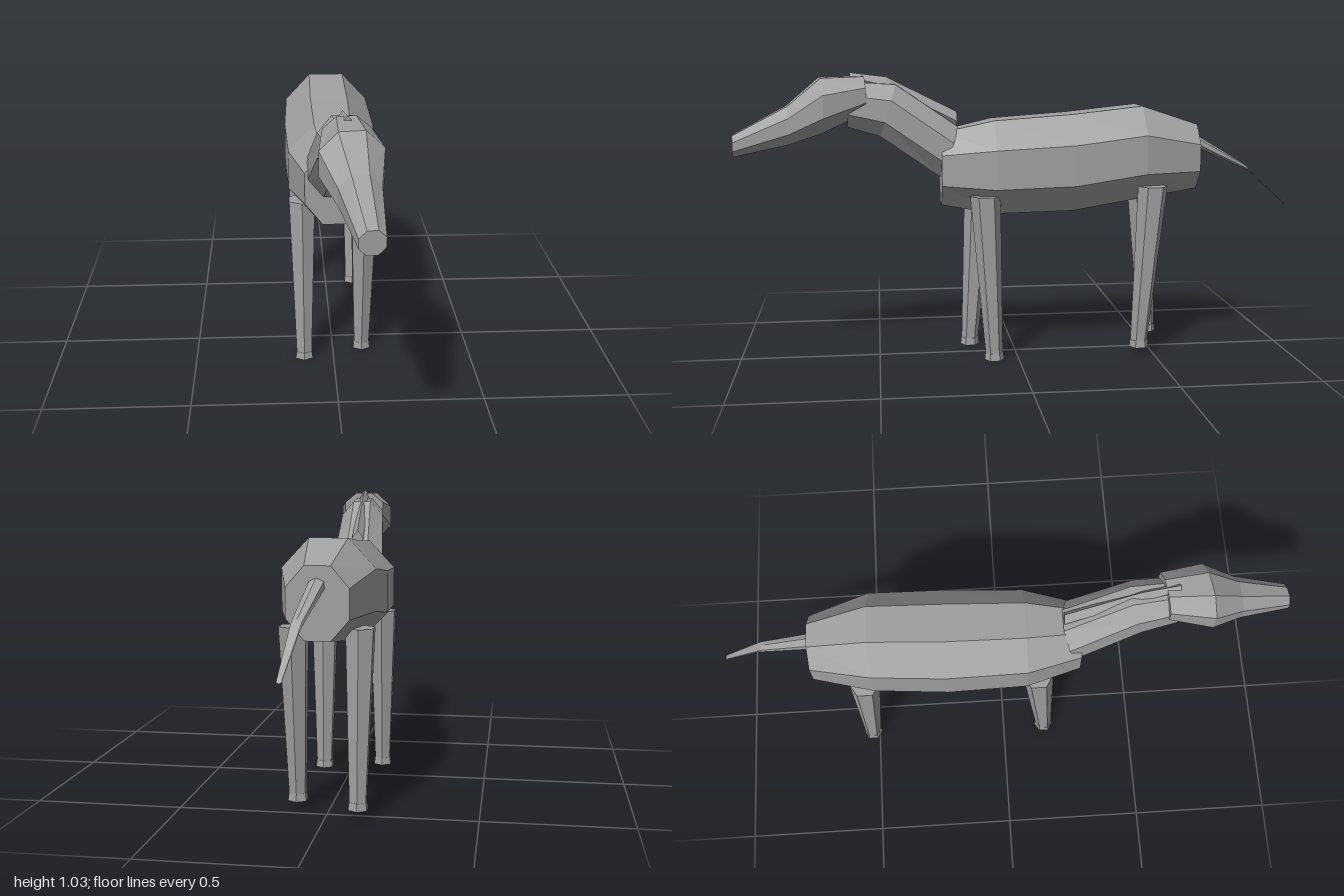
import * as THREE from 'three';

// Skin a closed solid over ring sections [cx, cy, cz, halfWidth, halfHeight, pitch].
// Rings run along their normals; pitch 0 faces +z, pitch PI/2 faces +y.
function loft(sections, sides, { pointy = false, yaw = 0 } = {}) {
  const phase = pointy ? 0 : Math.PI / sides;
  const grow = pointy ? 1 : 1 / Math.cos(Math.PI / sides);
  const pos = [], idx = [];
  for (const [cx, cy, cz, hw, hh, pitch = 0] of sections) {
    for (let j = 0; j < sides; j++) {
      const a = phase + (j / sides) * Math.PI * 2;
      const u = Math.cos(a) * hw * grow, v = Math.sin(a) * hh * grow;
      pos.push(cx + u, cy + v * Math.cos(pitch), cz - v * Math.sin(pitch) - u * yaw);
    }
  }
  const last = (sections.length - 1) * sides;
  for (let i = 0; i < last; i += sides) {
    for (let j = 0; j < sides; j++) {
      const k = (j + 1) % sides;
      idx.push(i + j, i + k, i + sides + k, i + j, i + sides + k, i + sides + j);
    }
  }
  // End caps
  for (let j = 1; j < sides - 1; j++) {
    idx.push(0, j + 1, j, last, last + j, last + j + 1);
  }
  const indexed = new THREE.BufferGeometry();
  indexed.setAttribute('position', new THREE.Float32BufferAttribute(pos, 3));
  indexed.setIndex(idx);
  const geo = indexed.toNonIndexed();
  geo.computeVertexNormals();
  return geo;
}

export function createModel() {
  const group = new THREE.Group();
  const coat = new THREE.MeshStandardMaterial({ color: 0xa0a0a0 });
  coat.name = 'grey coat';
  coat.flatShading = true;

  const add = (name, geometry) => {
    const mesh = new THREE.Mesh(geometry, coat);
    mesh.name = name;
    group.add(mesh);
  };

  // Barrel body, rump to chest
  add('body', loft([
    [0, 0.722, -0.665, 0.1, 0.117],
    [0, 0.742, -0.455, 0.155, 0.167],
    [0, 0.708, -0.2, 0.164, 0.174],
    [0, 0.695, 0.08, 0.155, 0.167],
    [0, 0.69, 0.27, 0.103, 0.13],
  ], 8));

  // Neck rising forward and bending slightly to the left
  add('neck', loft([
    [0, 0.75, 0.24, 0.094, 0.095, 0.35],
    [0.013, 0.9, 0.455, 0.08, 0.095, 0.3],
    [0.02, 0.923, 0.59, 0.068, 0.079, 0.1],
  ], 8));

  // Head tapering to the muzzle
  add('head', loft([
    [0.02, 0.957, 0.54, 0.075, 0.063],
    [0.028, 0.92, 0.69, 0.1, 0.096],
    [0.045, 0.853, 0.805, 0.065, 0.067],
    [0.066, 0.784, 0.993, 0.04, 0.037],
  ], 8, { yaw: 0.13 }));

  // Mane ridge along the crest of the neck
  add('mane', loft([
    [0, 0.858, 0.21, 0.022, 0.033],
    [0.012, 0.987, 0.46, 0.018, 0.03],
    [0.022, 1.017, 0.585, 0.014, 0.016],
  ], 4, { pointy: true }));

  // Drooping tail, tip to root
  add('tail', loft([
    [0.05, 0.545, -0.998, 0.008, 0.008, -0.7],
    [0.03, 0.68, -0.855, 0.016, 0.018, -0.7],
    [0, 0.785, -0.655, 0.024, 0.028, -0.4],
  ], 6));

  // Legs: name, side, top z, foot z, foot height, top height
  const up = Math.PI / 2;
  for (const [name, side, zTop, zFoot, y0, y1] of [
    ['LeftFront', 1, 0.118, 0.088, 0, 0.6],
    ['RightFront', -1, 0.122, 0.16, 0, 0.6],
    ['LeftBack', 1, -0.487, -0.446, 0.03, 0.625],
    ['RightBack', -1, -0.493, -0.523, 0.03, 0.625],
  ]) {
    const xFoot = side * 0.107, xTop = side * 0.11;
    add('leg' + name, loft([
      [xFoot, y0 + 0.02, zFoot, 0.027, 0.027, up],
      [xTop, y1, zTop, 0.045, 0.047, up],
    ], 6));
    add('hoof' + name, loft([
      [xFoot, y0, zFoot, 0.031, 0.031, up],
      [xFoot, y0 + 0.026, zFoot, 0.028, 0.028, up],
    ], 6));
  }
  return group;
}
